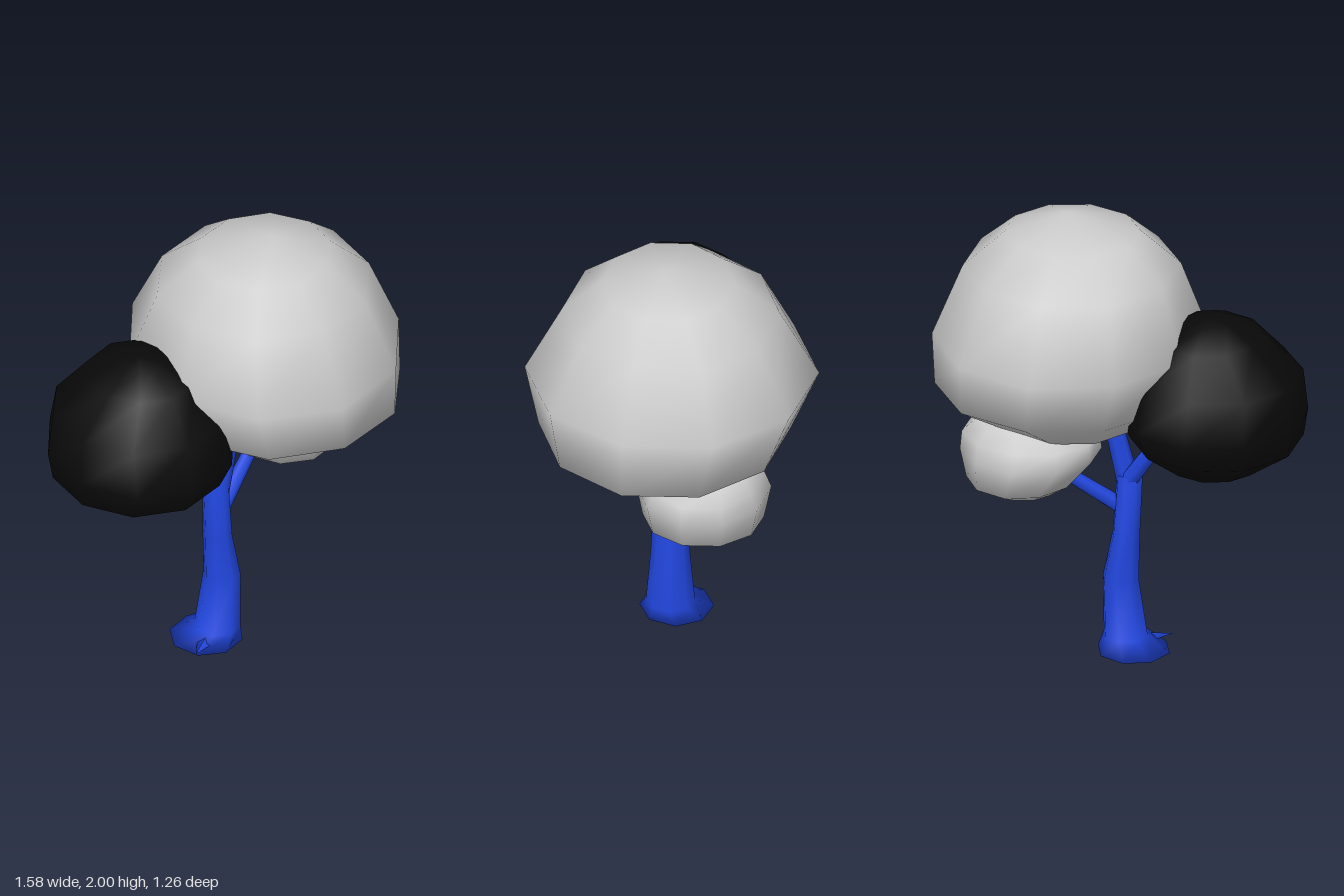
import * as THREE from 'three';
import { mergeVertices } from 'three/addons/utils/BufferGeometryUtils.js';

const bark = new THREE.MeshStandardMaterial({ color: 0x2247e0 });
const darkLeaf = new THREE.MeshStandardMaterial({ color: 0x090909 });
const paleLeaf = new THREE.MeshStandardMaterial({ color: 0xcccccc });

// Closed skin through rings listed bottom to top as [y, xMin, xMax, zMin, zMax].
// "star" pulls every other point of the first ring inwards.
function loft(rings, sides, star = 1) {
  const pos = [], idx = [];
  // vertices sit on the z extremes, flat sides on the x extremes
  const stretch = sides % 4 === 2 ? 1 / Math.cos(Math.PI / sides) : 1;
  rings.forEach(([y, x0, x1, z0, z1], i) => {
    for (let k = 0; k < sides; k++) {
      const a = Math.PI / 2 + (k * 2 * Math.PI) / sides;
      const s = i === 0 && k % 2 === 0 ? star : 1;
      pos.push(
        (x0 + x1) / 2 + ((x1 - x0) / 2) * stretch * s * Math.cos(a),
        y,
        (z0 + z1) / 2 + ((z1 - z0) / 2) * s * Math.sin(a)
      );
    }
  });
  for (let i = 0; i < rings.length - 1; i++) {
    for (let k = 0; k < sides; k++) {
      const a = i * sides + k, b = i * sides + ((k + 1) % sides);
      const c = a + sides, d = b + sides;
      if (rings[i][1] !== rings[i][2]) idx.push(a, c, b);
      if (rings[i + 1][1] !== rings[i + 1][2]) idx.push(b, c, d);
    }
  }
  let geo = new THREE.BufferGeometry();
  geo.setAttribute('position', new THREE.Float32BufferAttribute(pos, 3));
  geo.setIndex(idx);
  geo = mergeVertices(geo);
  geo.computeVertexNormals();
  return geo;
}

// Tapered branch between two points
function branchGeometry(from, to, r0, r1) {
  const a = new THREE.Vector3(...from), b = new THREE.Vector3(...to);
  const dir = b.clone().sub(a);
  const geo = new THREE.CylinderGeometry(r1, r0, dir.length(), 6);
  geo.applyQuaternion(new THREE.Quaternion().setFromUnitVectors(
    new THREE.Vector3(0, 1, 0), dir.clone().normalize()));
  const mid = a.add(b).multiplyScalar(0.5);
  return geo.translate(mid.x, mid.y, mid.z);
}

export function createModel() {
  const tree = new THREE.Group();
  tree.name = 'tree';
  const add = (name, geo, mat) => {
    const mesh = new THREE.Mesh(geo, mat);
    mesh.name = name;
    tree.add(mesh);
  };

  // Leaning trunk with a flared root and closed ends
  add('trunk', loft([
    [0, -0.03, -0.03, 0, 0],
    [0, -0.22, 0.1, -0.17, 0.15],
    [0.06, -0.115, 0.08, -0.09, 0.12],
    [0.32, -0.075, 0.085, -0.07, 0.1],
    [0.54, -0.08, 0.04, -0.055, 0.09],
    [0.8, -0.09, 0.025, -0.035, 0.08],
    [0.84, -0.03, -0.03, 0.02, 0.02],
  ], 8), bark);

  // Pointed root on one corner
  const root = new THREE.ConeGeometry(0.06, 0.16, 4);
  root.rotateZ(Math.PI / 2).scale(1, 0.5, 1).rotateY(0.6).translate(-0.13, 0.03, 0.08);
  add('root', root, bark);

  // Branches holding the three crowns
  add('middleBranch', branchGeometry([-0.03, 0.74, 0.03], [0.06, 1.12, 0.02], 0.05, 0.038), bark);
  add('rightBranch', branchGeometry([-0.03, 0.78, 0.01], [-0.22, 1.06, -0.03], 0.042, 0.035), bark);
  add('leftBranch', branchGeometry([-0.01, 0.645, 0.02], [0.27, 0.87, -0.11], 0.036, 0.028), bark);

  // Large crown, flatter underneath
  add('largeCrown', loft([
    [0.96, 0.15, 0.15, 0, 0],
    [1.06, -0.07, 0.5, -0.31, 0.32],
    [1.2, -0.24, 0.79, -0.51, 0.57],
    [1.46, -0.33, 0.785, -0.63, 0.63],
    [1.77, -0.225, 0.665, -0.46, 0.47],
    [1.92, -0.06, 0.5, -0.27, 0.3],
    [2.0, 0.25, 0.25, 0.03, 0.03],
  ], 10), paleLeaf);

  // Dark crown
  add('darkCrown', loft([
    [0.88, -0.4, -0.4, 0, 0],
    [0.905, -0.59, -0.23, -0.18, 0.18],
    [1.04, -0.775, -0.07, -0.37, 0.4],
    [1.16, -0.79, -0.02, -0.42, 0.45],
    [1.35, -0.775, -0.04, -0.37, 0.39],
    [1.52, -0.61, -0.18, -0.24, 0.25],
    [1.59, -0.48, -0.31, -0.1, 0.1],
    [1.6, -0.4, -0.4, 0, 0],
  ], 10), darkLeaf);

  // Small low crown
  add('smallCrown', loft([
    [0.73, 0.36, 0.36, -0.14, -0.14],
    [0.75, 0.27, 0.52, -0.26, -0.01],
    [0.82, 0.18, 0.625, -0.4, 0.12],
    [0.95, 0.07, 0.65, -0.43, 0.15],
    [1.03, 0.08, 0.645, -0.4, 0.12],
    [1.1, 0.16, 0.58, -0.35, 0.01],
    [1.13, 0.36, 0.36, -0.2, -0.2],
  ], 10), paleLeaf);

  return tree;
}
